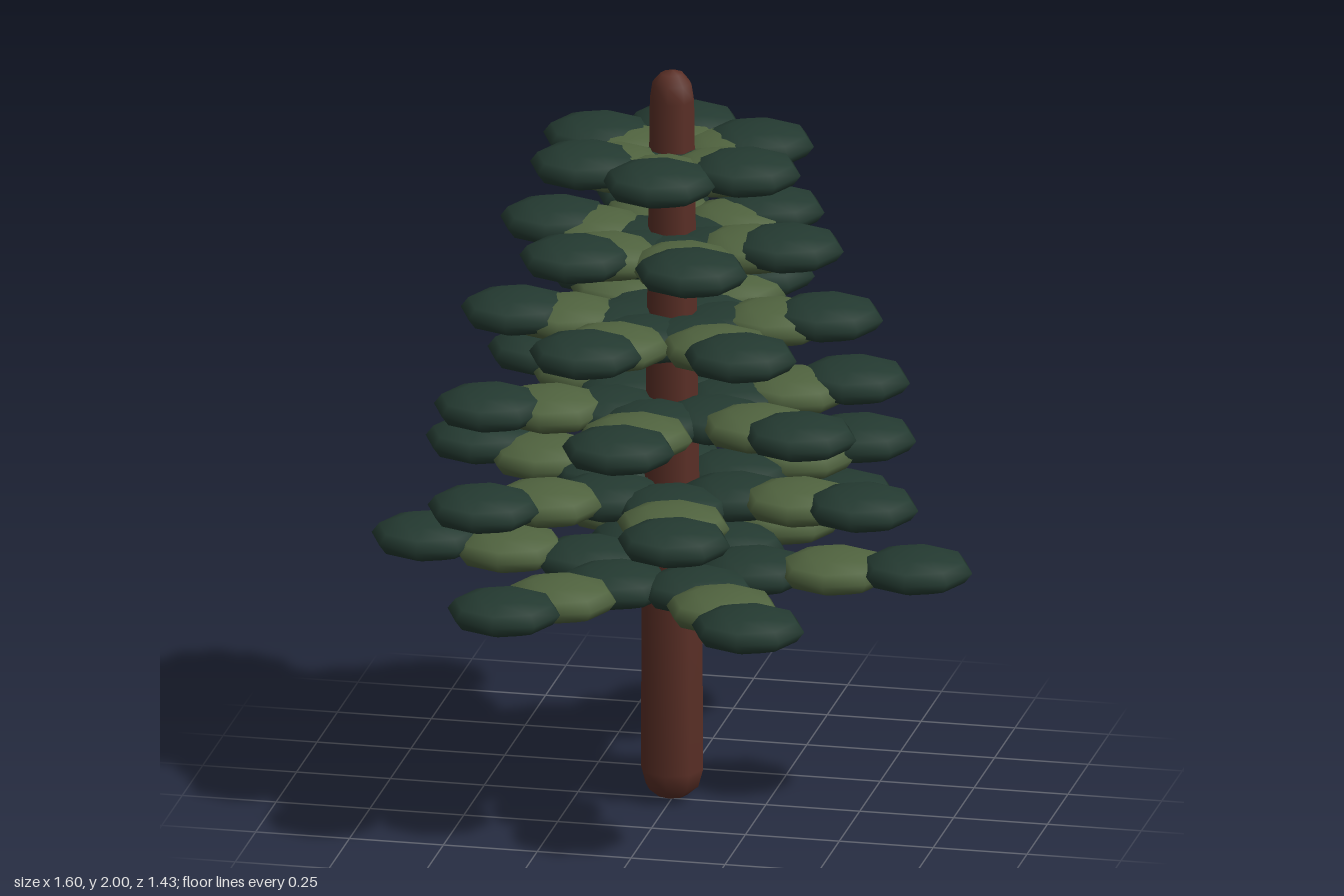
import * as THREE from 'three';

const material = (name, color) => {
  const m = new THREE.MeshStandardMaterial({ color });
  m.name = name;
  return m;
};

export function createModel() {
  const tree = new THREE.Group();
  tree.name = 'pineTree';
  const bark = material('brown bark', 0x5a2f26);
  const darkGreen = material('dark green needles', 0x243a31);
  const lightGreen = material('light green needles', 0x50633f);

  // Tapered eight-sided trunk with domed ends
  const profile = [
    [0, 0], [0.04, 0.012], [0.07, 0.037], [0.083, 0.085],
    [0.081, 0.5], [0.074, 0.8], [0.067, 1.3], [0.059, 1.92],
    [0.052, 1.965], [0.03, 1.991], [0, 2],
  ].map(([r, y]) => new THREE.Vector2(r, y));
  const trunk = new THREE.Mesh(new THREE.LatheGeometry(profile, 8), bark);
  trunk.name = 'trunk';
  tree.add(trunk);

  // Flattened clump of needles shared by every branch
  const clumpGeometry = new THREE.SphereGeometry(1, 8, 6);
  clumpGeometry.scale(0.15, 0.053, 0.15);

  // Six twisting tiers of six branches, each branch three clumps long
  for (let tier = 0; tier < 6; tier++) {
    const tierGroup = new THREE.Group();
    tierGroup.name = `branchTier${tier + 1}`;
    const reach = 0.65 - 0.082 * tier;
    const baseY = 0.641 + 0.219 * tier;
    for (let b = 0; b < 6; b++) {
      const angle = 0.3 * tier + (b * Math.PI) / 3;
      for (let k = 1; k <= 3; k++) {
        const r = (reach * k) / 3;
        const clump = new THREE.Mesh(clumpGeometry, k === 2 ? lightGreen : darkGreen);
        clump.name = ['innerNeedles', 'middleNeedles', 'outerNeedles'][k - 1];
        clump.position.set(Math.cos(angle) * r, baseY + 0.0165 * (k - 1), Math.sin(angle) * r);
        tierGroup.add(clump);
      }
    }
    tree.add(tierGroup);
  }
  return tree;
}
